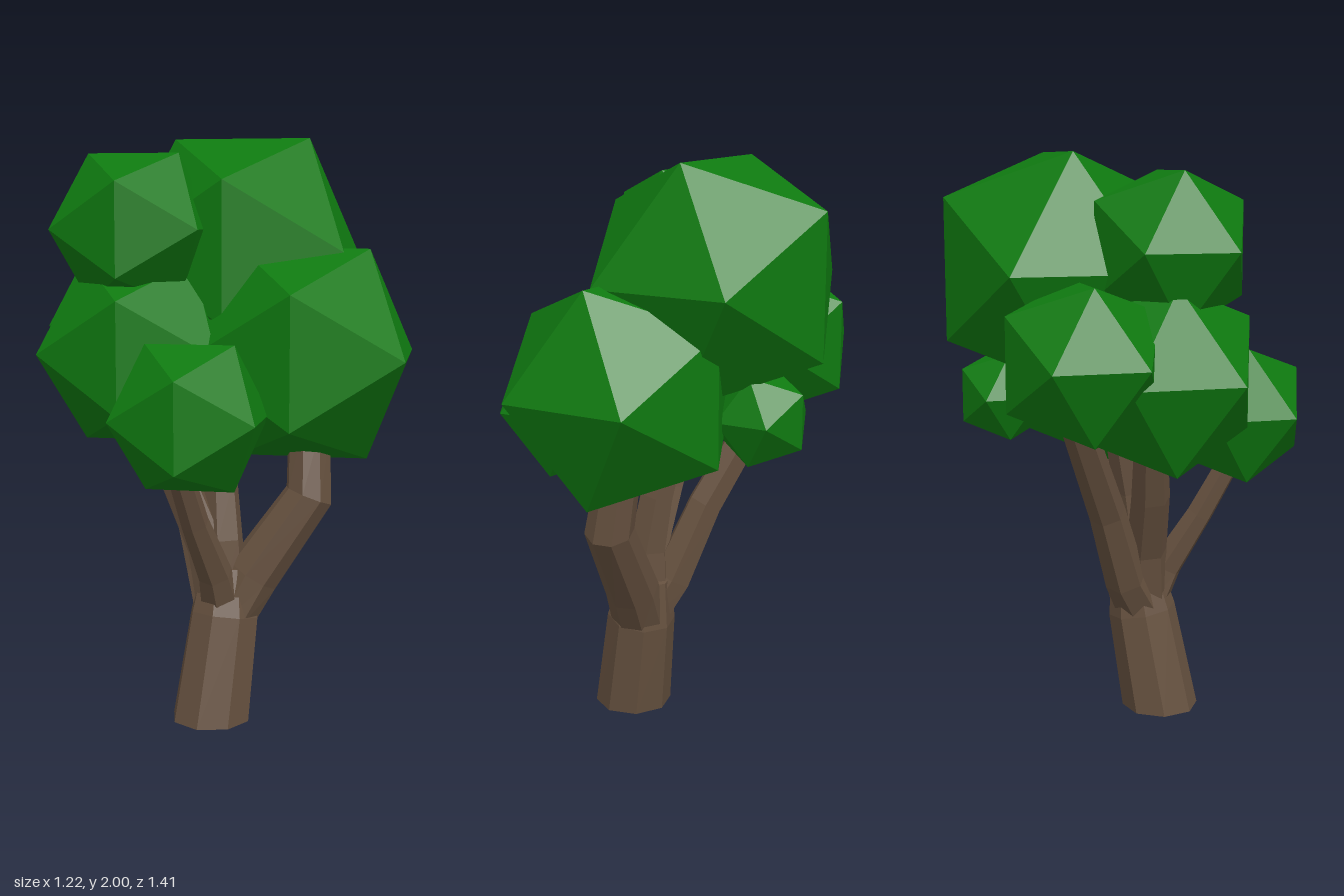
import * as THREE from 'three';

const bark = new THREE.MeshStandardMaterial({ color: 0x66513f, flatShading: true });
const leaf = new THREE.MeshStandardMaterial({ color: 0x0f7a10, flatShading: true });

// Tapered limb through points [x, y, z, radius]; the first ring is horizontal
function limb(name, path, sides) {
  const pts = path.map(([x, y, z]) => new THREE.Vector3(x, y, z));
  const up = new THREE.Vector3(0, 1, 0);
  const pos = [], index = [];
  const last = pts.length - 1;
  pts.forEach((p, i) => {
    const dir = i === 0 ? up : pts[Math.min(i + 1, last)].clone().sub(pts[i - 1]).normalize();
    const q = new THREE.Quaternion().setFromUnitVectors(up, dir);
    for (let j = 0; j < sides; j++) {
      const a = ((j + 0.5) / sides) * Math.PI * 2;
      const v = new THREE.Vector3(Math.cos(a), 0, Math.sin(a)).multiplyScalar(path[i][3]);
      pos.push(...v.applyQuaternion(q).add(p).toArray());
      if (i < last) {
        const k = (j + 1) % sides, b = i * sides, t = b + sides;
        index.push(b + j, t + j, b + k, b + k, t + j, t + k);
      }
    }
  });
  // End caps
  const top = last * sides;
  for (let j = 1; j < sides - 1; j++) {
    index.push(0, j, j + 1, top, top + j + 1, top + j);
  }
  const geo = new THREE.BufferGeometry();
  geo.setAttribute('position', new THREE.Float32BufferAttribute(pos, 3));
  geo.setIndex(index);
  geo.computeVertexNormals();
  const mesh = new THREE.Mesh(geo, bark);
  mesh.name = name;
  return mesh;
}

// Twenty-sided leaf clump with its poles along z
function clump(name, x, y, z, radius) {
  const geo = new THREE.IcosahedronGeometry(radius, 0);
  geo.rotateX(Math.atan(2 / (1 + Math.sqrt(5))));
  geo.rotateZ(Math.PI / 10);
  const mesh = new THREE.Mesh(geo, leaf);
  mesh.position.set(x, y, z);
  mesh.name = name;
  return mesh;
}

export function createModel() {
  const tree = new THREE.Group();
  tree.name = 'tree';

  // Trunk and branches
  const wood = new THREE.Group();
  wood.name = 'wood';
  wood.add(
    limb('trunk', [[-0.13, 0, 0.11, 0.138], [-0.06, 0.36, 0.11, 0.122], [-0.04, 0.52, 0.1, 0.09]], 8),
    limb('frontBranch', [[-0.05, 0.34, 0.12, 0.1], [0.01, 0.5, 0.18, 0.095], [0.135, 0.78, 0.325, 0.085], [0.165, 1.0, 0.3, 0.075]], 8),
    limb('backBranch', [[-0.06, 0.36, 0.09, 0.09], [-0.03, 0.5, 0.0, 0.075], [0.0, 0.77, -0.12, 0.065], [0.04, 1.16, -0.36, 0.055]], 6),
    limb('middleBranch', [[-0.05, 0.4, 0.1, 0.09], [-0.05, 0.62, 0.09, 0.075], [-0.03, 0.82, 0.06, 0.065], [0.0, 1.1, -0.01, 0.05]], 6),
    limb('rearSideBranch', [[-0.08, 0.4, 0.1, 0.08], [-0.09, 0.6, 0.06, 0.075], [-0.13, 0.82, -0.03, 0.07], [-0.16, 1.1, -0.14, 0.055]], 6),
    limb('sideBranch', [[-0.08, 0.38, 0.12, 0.075], [-0.14, 0.52, 0.14, 0.06], [-0.26, 0.72, 0.16, 0.048], [-0.38, 0.95, 0.19, 0.042]], 6),
  );
  tree.add(wood);

  // Leaf clumps
  const foliage = new THREE.Group();
  foliage.name = 'foliage';
  foliage.add(
    clump('crownClump', 0.2, 1.61, -0.045, 0.457),
    clump('frontClump', 0.155, 1.265, 0.28, 0.42),
    clump('lowSideClump', -0.365, 1.095, 0.235, 0.277),
    clump('upperSideClump', -0.225, 1.687, -0.157, 0.297),
    clump('middleClump', -0.2, 1.27, -0.163, 0.363),
    clump('backClump', -0.012, 1.34, -0.416, 0.294),
    clump('smallClump', 0.374, 1.175, -0.118, 0.174),
  );
  tree.add(foliage);
  return tree;
}
